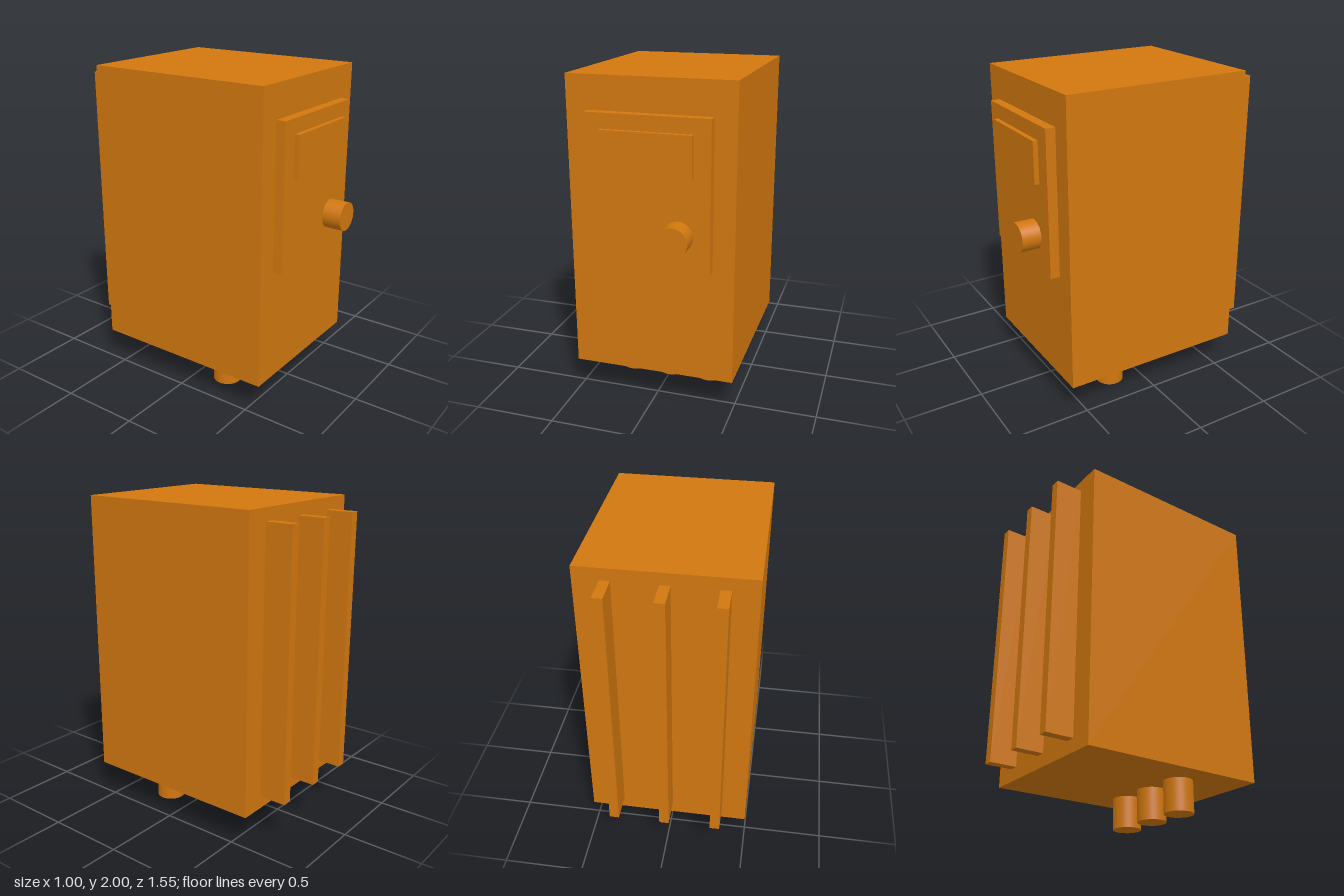
import * as THREE from 'three';

export function createModel() {
  const model = new THREE.Group();
  const orange = new THREE.MeshStandardMaterial({ color: 0xd1770f });
  orange.name = 'orange';

  const add = (name, geometry, x, y, z) => {
    const mesh = new THREE.Mesh(geometry, orange);
    mesh.name = name;
    mesh.position.set(x, y, z);
    model.add(mesh);
    return mesh;
  };
  // Box given by its extents on each axis
  const box = (name, [x0, x1], [y0, y1], [z0, z1]) =>
    add(name, new THREE.BoxGeometry(x1 - x0, y1 - y0, z1 - z0),
      (x0 + x1) / 2, (y0 + y1) / 2, (z0 + z1) / 2);

  // Housing with stepped control panel and display
  const back = -0.604, front = 0.596;
  box('housing', [-0.5, 0.5], [0.2, 2], [back, front]);
  box('controlPanel', [-0.37, 0.37], [0.9, 1.8], [front, 0.656]);
  box('display', [-0.27, 0.27], [1.455, 1.71], [0.656, 0.686]);

  // Round knob facing forward
  const knob = add('knob', new THREE.CylinderGeometry(0.09, 0.09, 0.12, 48), 0.18, 1.12, 0.716);
  knob.rotation.x = Math.PI / 2;

  // Cooling fins on the back
  for (const x of [-0.32, 0, 0.32]) {
    box('coolingFin', [x - 0.03, x + 0.03], [0.28, 1.925], [-0.776, back]);
  }

  // Cable glands under the housing
  for (const x of [-0.26, 0, 0.26]) {
    add('cableGland', new THREE.CylinderGeometry(0.09, 0.09, 0.2, 48), x, 0.1, 0.197);
  }

  return model;
}
